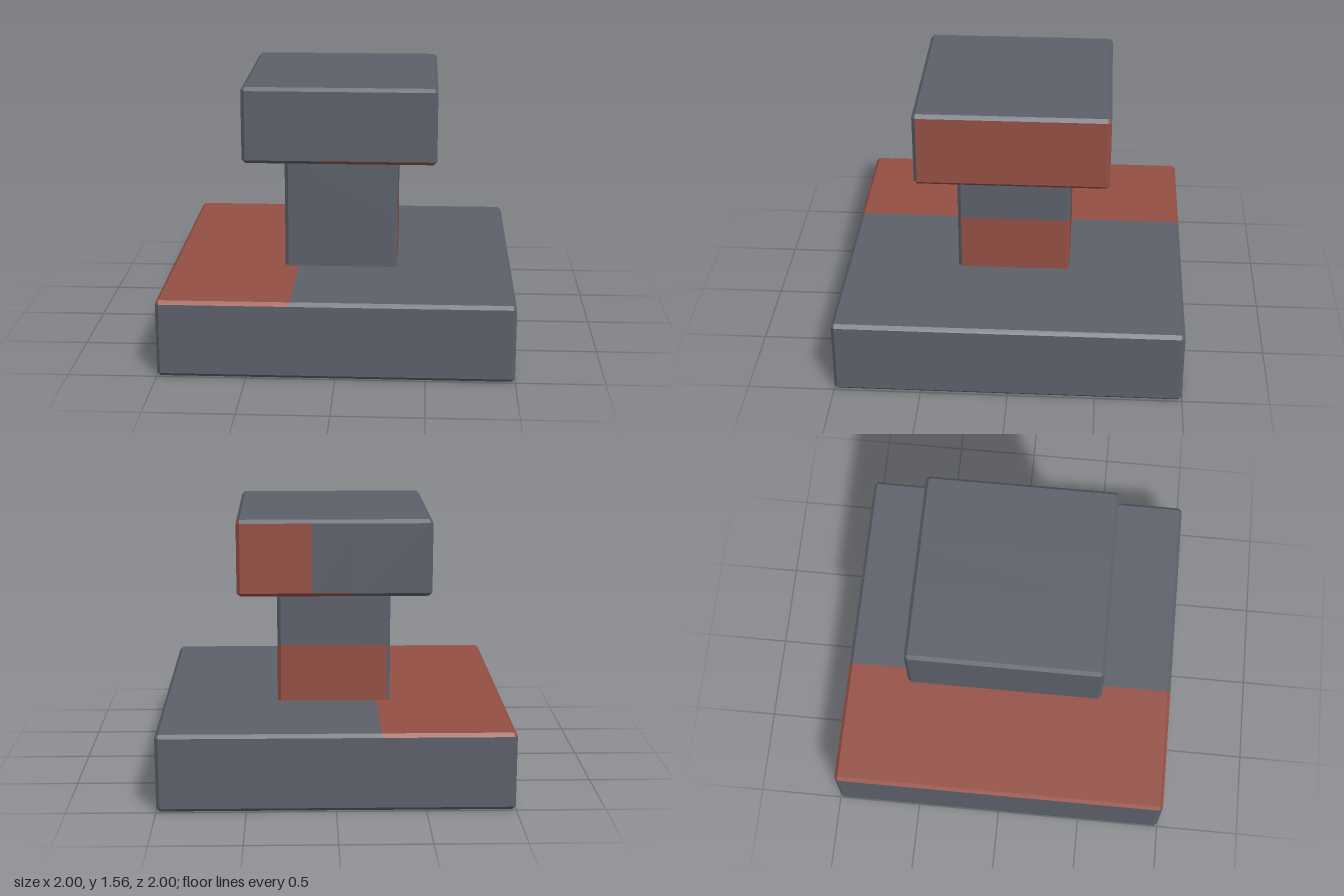
import * as THREE from 'three';

const steel = new THREE.MeshStandardMaterial({ color: 0x5c606a });
steel.name = 'slateGrey';
const rust = new THREE.MeshStandardMaterial({ color: 0x944f44 });
rust.name = 'rustRed';

const AXES = ['x', 'y', 'z'];

// Flat polygons of a box with all edges and corners chamfered.
function chamferedBox(min, max, chamfer) {
  const mid = min.clone().add(max).multiplyScalar(0.5);
  const half = max.clone().sub(min).multiplyScalar(0.5);
  // Corner point lying on the face across the given axis
  const point = (signs, axis) => new THREE.Vector3(...AXES.map((k, i) =>
    mid[k] + signs[i] * (half[k] - (i === axis ? 0 : chamfer))));
  const polys = [];
  const add = (pts) => {
    const centre = centroid(pts);
    if (normalOf(pts).dot(centre.sub(mid)) < 0) pts.reverse();
    polys.push(pts);
  };
  const place = (a, sa, b, sb, c, sc) => { const s = []; s[a] = sa; s[b] = sb; s[c] = sc; return s; };
  for (let a = 0; a < 3; a++) {
    const b = (a + 1) % 3, c = (a + 2) % 3;
    for (const s of [-1, 1]) {
      // Main face
      add([[-1, -1], [1, -1], [1, 1], [-1, 1]].map(([u, v]) => point(place(a, s, b, u, c, v), a)));
      // Edge strips shared with the next axis
      for (const t of [-1, 1]) {
        const p = place(a, s, b, t, c, -1), q = place(a, s, b, t, c, 1);
        add([point(p, a), point(q, a), point(q, b), point(p, b)]);
      }
    }
  }
  // Corner triangles
  for (let i = 0; i < 8; i++) {
    const s = [i & 1 ? 1 : -1, i & 2 ? 1 : -1, i & 4 ? 1 : -1];
    add([0, 1, 2].map((axis) => point(s, axis)));
  }
  return polys;
}

function centroid(pts) {
  return pts.reduce((sum, p) => sum.add(p), new THREE.Vector3()).divideScalar(pts.length);
}

function normalOf(pts) {
  const u = pts[1].clone().sub(pts[0]), v = pts[2].clone().sub(pts[0]);
  return u.cross(v).normalize();
}

// Keeps the part of a polygon on one side of an axis-aligned plane.
function clip(pts, axis, value, side) {
  const out = [];
  pts.forEach((p, i) => {
    const q = pts[(i + 1) % pts.length];
    const dp = (p[axis] - value) * side, dq = (q[axis] - value) * side;
    if (dp >= 0) out.push(p);
    if (dp * dq < 0) out.push(p.clone().lerp(q, dp / (dp - dq)));
  });
  return out;
}

function meshFrom(polys, material, name) {
  const positions = [];
  for (const pts of polys) {
    for (let i = 1; i < pts.length - 1; i++) {
      for (const p of [pts[0], pts[i], pts[i + 1]]) positions.push(p.x, p.y, p.z);
    }
  }
  const geometry = new THREE.BufferGeometry();
  geometry.setAttribute('position', new THREE.Float32BufferAttribute(positions, 3));
  geometry.computeVertexNormals();
  const mesh = new THREE.Mesh(geometry, material);
  mesh.name = name;
  return mesh;
}

// Chamfered block, cut along the paint lines and sorted by colour.
function block(name, halfWidth, y0, y1, cuts, isRed) {
  let polys = chamferedBox(new THREE.Vector3(-halfWidth, y0, -halfWidth),
    new THREE.Vector3(halfWidth, y1, halfWidth), 0.02);
  for (const [axis, value] of cuts) {
    polys = polys.flatMap((p) => [clip(p, axis, value, 1), clip(p, axis, value, -1)])
      .filter((p) => p.length > 2);
  }
  const red = [], grey = [];
  for (const p of polys) (isRed(normalOf(p), centroid(p)) ? red : grey).push(p);
  const group = new THREE.Group();
  group.name = name;
  group.add(meshFrom(grey, steel, name + 'Body'), meshFrom(red, rust, name + 'Paint'));
  return group;
}

export function createModel() {
  const model = new THREE.Group();
  model.name = 'pedestal';

  // Wide base with a painted strip along one side of its top
  model.add(block('base', 1, 0, 0.445, [['x', -0.25]],
    (n, c) => n.y > 0.5 && c.x < -0.25));

  // Column, run slightly into its neighbours, painted low on two sides
  model.add(block('column', 0.33, 0.42, 1.14, [['y', 0.78]],
    (n, c) => c.y < 0.78 && (n.x > 0.9 || (n.z < -0.5 && n.x > -0.5))));

  // Cap: painted side, part of the back and part of the underside
  model.add(block('cap', 0.555, 1.12, 1.56, [['x', -0.12], ['x', 0.13]],
    (n, c) => n.x > 0.9 || (n.y < -0.5 && c.x > -0.12) ||
      (n.z < -0.5 && n.y < 0.6 && c.x > 0.13)));

  return model;
}
